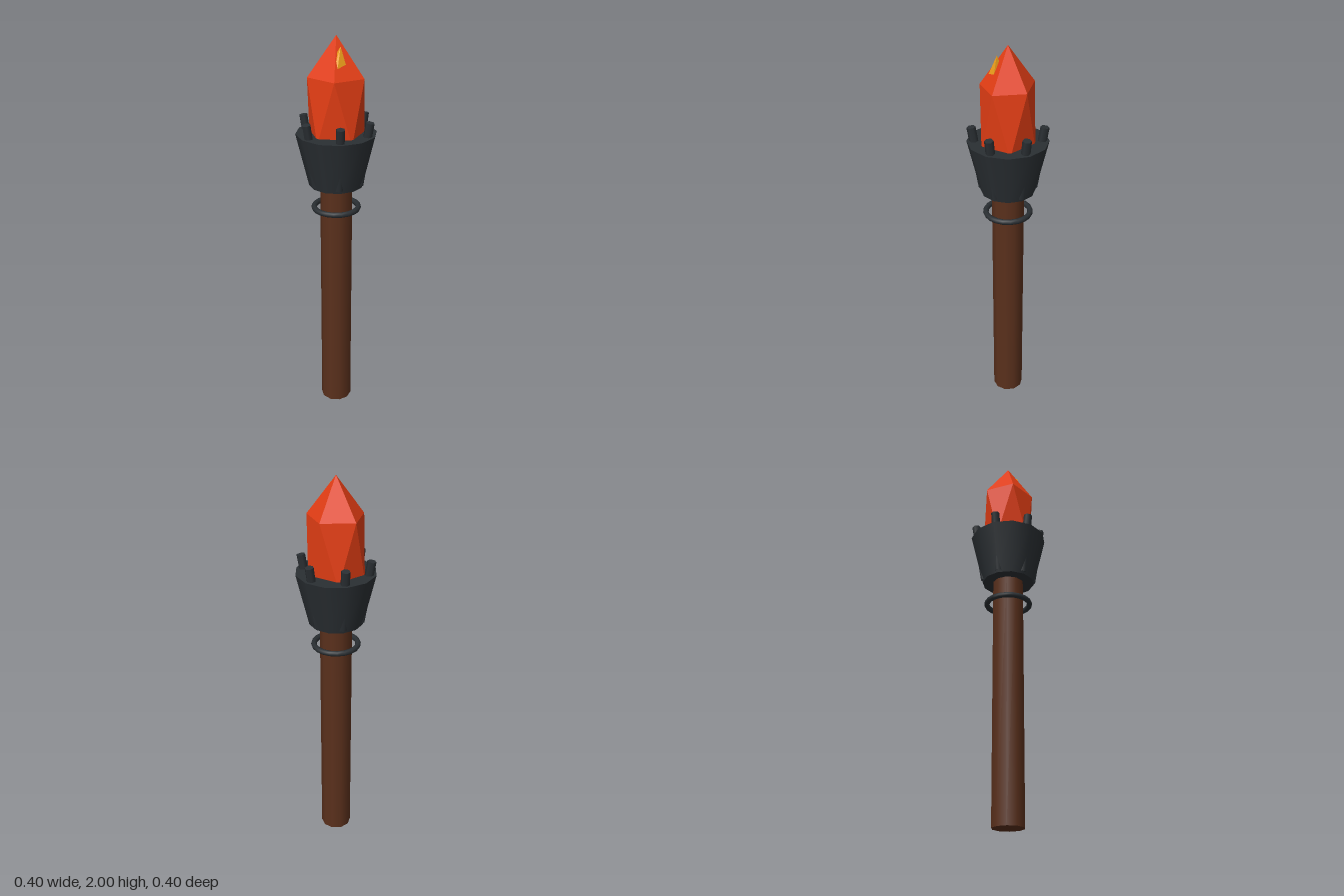
import * as THREE from 'three';
import { ConvexGeometry } from 'three/addons/geometries/ConvexGeometry.js';

export function createModel() {
  const torch = new THREE.Group();
  torch.name = 'torch';

  const wood = new THREE.MeshStandardMaterial({ color: 0x5a301c });
  const iron = new THREE.MeshStandardMaterial({ color: 0x2a2f33 });
  const ember = new THREE.MeshStandardMaterial({ color: 0xe23d14, flatShading: true });
  const amber = new THREE.MeshStandardMaterial({ color: 0xf0a01c, flatShading: true });

  const add = (name, geometry, material, y = 0) => {
    const mesh = new THREE.Mesh(geometry, material);
    mesh.name = name;
    mesh.position.y = y;
    torch.add(mesh);
    return mesh;
  };

  // Wooden shaft, its top hidden inside the cup
  add('handle', new THREE.CylinderGeometry(0.08, 0.08, 1.32, 10), wood, 0.66);

  // Loose iron ring around the shaft
  add('ring', new THREE.TorusGeometry(0.111, 0.014, 8, 20).rotateX(Math.PI / 2), iron, 1.147);

  // Flared cup
  add('cup', new THREE.CylinderGeometry(0.198, 0.135, 0.265, 12), iron, 1.4025);

  // Six prongs leaning outwards through the wall of the cup
  const up = new THREE.Vector3(0, 1, 0);
  const low = new THREE.Vector3(0.122, 1.285, 0);
  const high = new THREE.Vector3(0.174, 1.605, 0);
  const lean = high.clone().sub(low);
  const prong = new THREE.CylinderGeometry(0.022, 0.022, lean.length(), 6)
    .rotateY(Math.PI / 2)
    .applyQuaternion(new THREE.Quaternion().setFromUnitVectors(up, lean.clone().normalize()))
    .translate((low.x + high.x) / 2, (low.y + high.y) / 2, 0);
  for (let i = 0; i < 6; i++) {
    add('prong', prong, iron).rotation.y = (i * Math.PI) / 3;
  }

  // Crystal flame: a stretched twenty-sided solid standing on its point
  const points = [new THREE.Vector3(0, 2, 0), new THREE.Vector3(0, 1.314, 0)];
  for (let i = 0; i < 10; i++) {
    const a = (i * Math.PI) / 5;
    points.push(new THREE.Vector3(0.142 * Math.cos(a), i % 2 ? 1.504 : 1.81, 0.131 * Math.sin(a)));
  }
  add('crystal', new ConvexGeometry(points), ember);

  // Bright shard breaking through one upper facet; its base sits just below the facet
  const base = [[0.02, 0.037], [0.029, 0.027], [0.066, 0.036], [0.041, 0.082], [0.027, 0.068]];
  const shard = base.map(([x, z]) => new THREE.Vector3(x, 1.996 - 1.338 * x - 1.06 * z, z));
  shard.push(new THREE.Vector3(0.037, 1.957, 0.036));
  add('shard', new ConvexGeometry(shard), amber);

  return torch;
}
